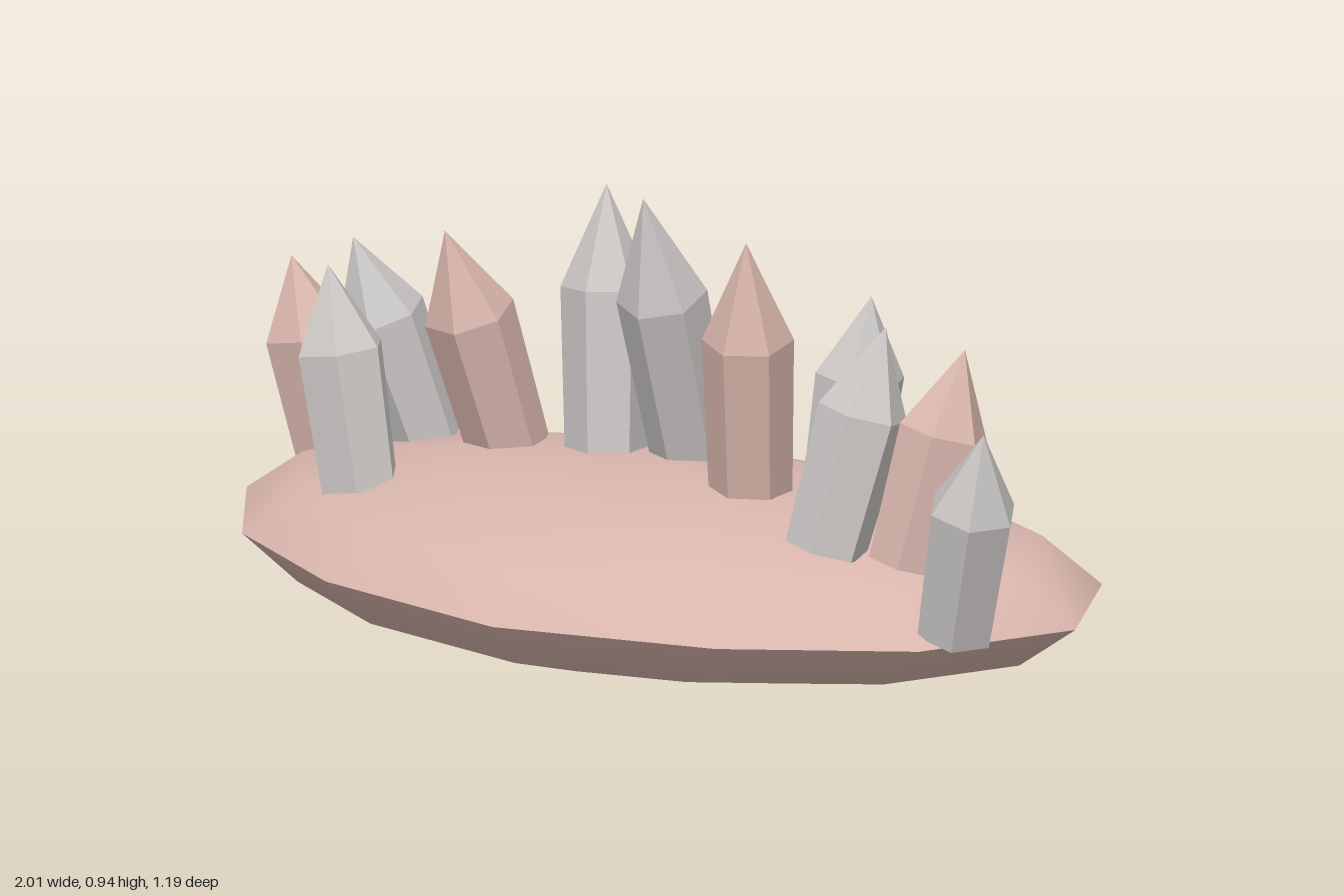
import * as THREE from 'three';

const rose = new THREE.MeshStandardMaterial({ name: 'dustyRose', color: 0xd9b6ad });
const grey = new THREE.MeshStandardMaterial({ name: 'paleGrey', color: 0xcbc8c6 });

// Rim of the stone, counterclockwise from above: [x, z]
const RIM = [
  [1, -0.03], [0.86, -0.35], [0.47, -0.555], [-0.01, -0.6], [-0.48, -0.545], [-0.86, -0.34],
  [-1, -0.03], [-0.82, 0.27], [-0.48, 0.485], [-0.01, 0.59], [0.46, 0.485], [0.82, 0.28],
];
const RIM_Y = 0.19, HALF = 0.19, CENTRE_Z = -0.02;

// Smooth half of the flattened stone; sign +1 is the upper half, -1 the lower
function stoneHalf(sign) {
  const n = RIM.length, rings = 3, pos = [], idx = [];
  for (let r = 0; r < rings; r++) {
    const a = (r * Math.PI) / 6;
    for (const [x, z] of RIM) {
      pos.push(x * Math.cos(a), RIM_Y + sign * HALF * Math.sin(a), CENTRE_Z + (z - CENTRE_Z) * Math.cos(a));
    }
  }
  pos.push(0, RIM_Y + sign * HALF, CENTRE_Z);
  const tri = (a, b, c) => (sign > 0 ? idx.push(a, b, c) : idx.push(a, c, b));
  for (let r = 0; r < rings; r++) {
    for (let i = 0; i < n; i++) {
      const a = r * n + i, b = r * n + ((i + 1) % n);
      if (r === rings - 1) tri(a, b, rings * n);
      else {
        tri(a, b, b + n);
        tri(a, b + n, a + n);
      }
    }
  }
  const g = new THREE.BufferGeometry();
  g.setAttribute('position', new THREE.Float32BufferAttribute(pos, 3));
  g.setIndex(idx);
  g.computeVertexNormals();
  return g;
}

// Six-sided crystal from base to tip, flaring a little up to its shoulder
function crystalGeometry(base, tip, spin) {
  const a = new THREE.Vector3(...base), axis = new THREE.Vector3(...tip).sub(a);
  const h = axis.length();
  const profile = [[0, 0], [0.085, 0], [0.094, h * 0.62], [0, h]].map(([r, y]) => new THREE.Vector2(r, y));
  const g = new THREE.LatheGeometry(profile, 6).toNonIndexed();
  g.rotateY(spin);
  g.applyQuaternion(new THREE.Quaternion().setFromUnitVectors(new THREE.Vector3(0, 1, 0), axis.normalize()));
  g.translate(a.x, a.y, a.z);
  g.computeVertexNormals(); // one normal per facet
  return g;
}

// Crystals from right to left: base, tip, spin, material
const CRYSTALS = [
  [[-0.86, 0.25, -0.15], [-0.95, 0.665, -0.12], 0.4, rose],
  [[-0.68, 0.3, -0.2], [-0.785, 0.735, -0.095], 0.3, grey],
  [[-0.6, 0.3, 0.17], [-0.68, 0.755, 0.165], 0.5, grey],
  [[-0.425, 0.34, -0.12], [-0.49, 0.82, 0.02], 0.2, rose],
  [[-0.215, 0.35, -0.16], [-0.25, 0.9, -0.215], 0.1, grey],
  [[-0.04, 0.36, -0.21], [-0.04, 0.945, -0.025], 0, grey],
  [[0.21, 0.35, -0.04], [0.25, 0.91, 0.04], 0, rose],
  [[0.39, 0.35, -0.1], [0.45, 0.79, -0.12], 0.3, grey],
  [[0.515, 0.33, 0.155], [0.6, 0.79, 0.06], 0.2, grey],
  [[0.66, 0.3, 0.07], [0.74, 0.745, -0.02], 0.3, rose],
  [[0.84, 0.21, 0.175], [0.955, 0.66, 0.245], 0.5, grey],
];

export function createModel() {
  const model = new THREE.Group();
  model.name = 'crystalStone';
  const add = (parent, name, geometry, material) => {
    const mesh = new THREE.Mesh(geometry, material);
    mesh.name = name;
    parent.add(mesh);
  };

  // Stone base with a sharp rim
  add(model, 'stoneTop', stoneHalf(1), rose);
  add(model, 'stoneUnderside', stoneHalf(-1), rose);

  // Row of crystals
  const crystals = new THREE.Group();
  crystals.name = 'crystals';
  CRYSTALS.forEach(([base, tip, spin, material], i) => {
    add(crystals, `crystal${i + 1}`, crystalGeometry(base, tip, spin), material);
  });
  model.add(crystals);
  return model;
}
